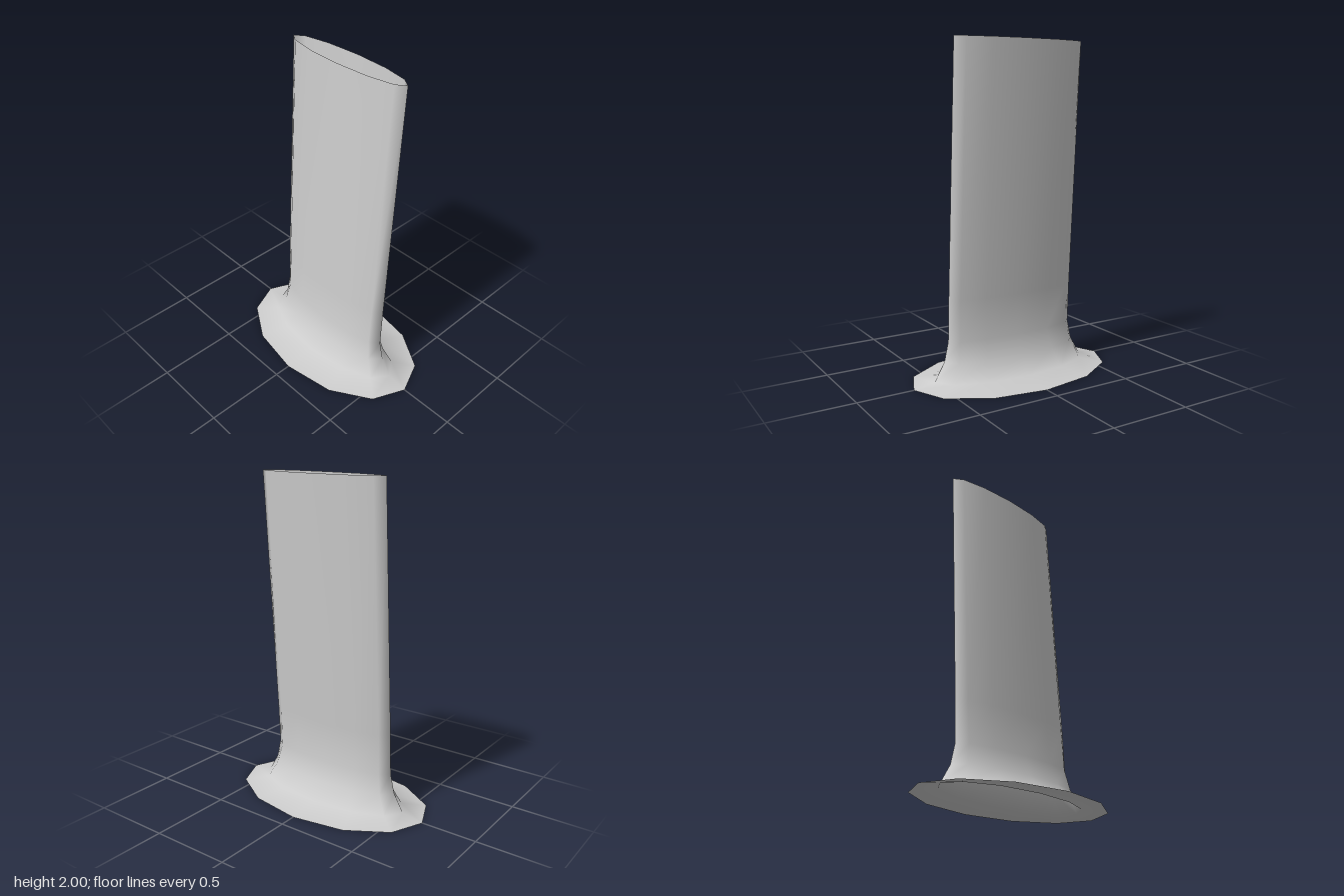
import * as THREE from 'three';

const SIDES = 12;

// Skin a stack of elliptical rings [y, centreZ, radiusX, radiusZ], open at both ends
function loftRings(rings) {
  const positions = [];
  const indices = [];
  rings.forEach(([y, cz, rx, rz], r) => {
    for (let i = 0; i < SIDES; i++) {
      const a = (i / SIDES) * Math.PI * 2;
      positions.push(rx * Math.cos(a), y, cz + rz * Math.sin(a));
      if (r === 0) continue;
      const next = (i + 1) % SIDES;
      const low = (r - 1) * SIDES;
      const high = r * SIDES;
      indices.push(low + i, high + i, low + next, high + i, high + next, low + next);
    }
  });
  const geometry = new THREE.BufferGeometry();
  geometry.setAttribute('position', new THREE.Float32BufferAttribute(positions, 3));
  geometry.setIndex(indices);
  geometry.computeVertexNormals();
  return geometry;
}

export function createModel() {
  const group = new THREE.Group();
  group.name = 'flaredTube';

  // Wide thin flange, flared neck, then a flat oval tube leaning backwards
  const geometry = loftRings([
    [0, 0, 0.655, 0.4],
    [0.022, 0, 0.52, 0.2],
    [0.13, 0, 0.457, 0.135],
    [0.25, 0, 0.43, 0.092],
    [0.5, -0.012, 0.43, 0.078],
    [2, -0.108, 0.43, 0.078],
  ]);
  const material = new THREE.MeshStandardMaterial({ color: 0xcccccc, side: THREE.DoubleSide });
  const tube = new THREE.Mesh(geometry, material);
  tube.name = 'ovalTubeWithFlange';
  group.add(tube);

  return group;
}
